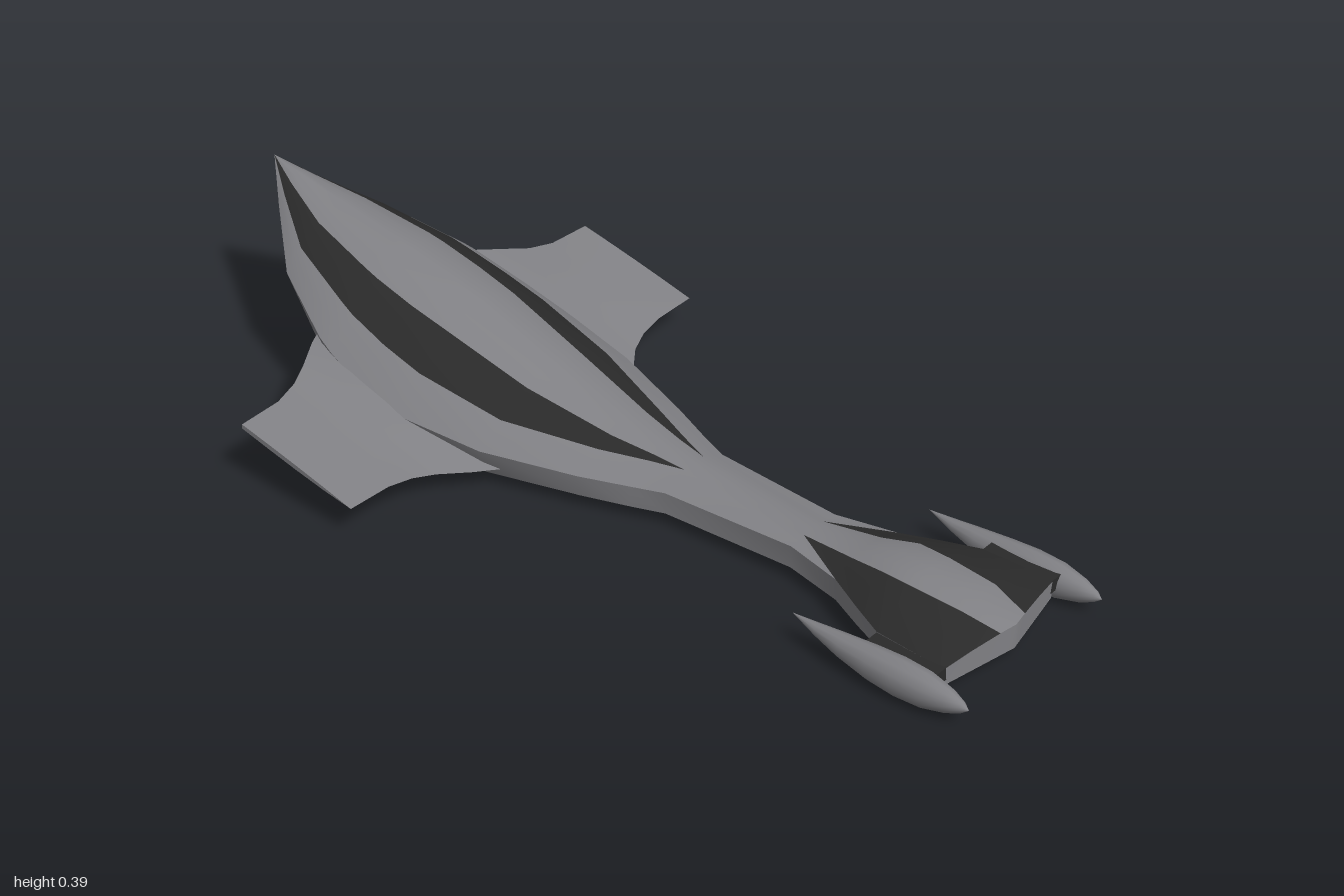
import * as THREE from 'three';
import { toCreasedNormals } from 'three/addons/utils/BufferGeometryUtils.js';

const hullGrey = new THREE.MeshStandardMaterial({ color: 0x808084, side: THREE.DoubleSide });
hullGrey.name = 'hull grey';
const stripeBlack = new THREE.MeshStandardMaterial({ color: 0x2a2a2a, side: THREE.DoubleSide });
stripeBlack.name = 'stripe black';

// Skin a grid of points; isBlack(row, column) picks the colour of each face
function skin(name, rows, isBlack = () => false, crease = 0.6) {
  const lists = [[], []];
  const a = new THREE.Vector3(), b = new THREE.Vector3(), c = new THREE.Vector3();
  const tri = (list, p, q, r) => {
    a.set(...p); b.set(...q).sub(a); c.set(...r).sub(a);
    if (b.cross(c).length() > 1e-7) list.push(...p, ...q, ...r);
  };
  for (let i = 0; i < rows.length - 1; i++) {
    for (let j = 0; j < rows[i].length - 1; j++) {
      const list = lists[isBlack(i, j) ? 1 : 0];
      const [p, q, r, s] = [rows[i][j], rows[i][j + 1], rows[i + 1][j + 1], rows[i + 1][j]];
      tri(list, p, q, r);
      tri(list, p, r, s);
    }
  }
  let geo = new THREE.BufferGeometry();
  geo.setAttribute('position', new THREE.Float32BufferAttribute([...lists[0], ...lists[1]], 3));
  geo = toCreasedNormals(geo, crease);
  geo.clearGroups();
  geo.addGroup(0, lists[0].length / 3, 0);
  geo.addGroup(lists[0].length / 3, lists[1].length / 3, 1);
  const mesh = new THREE.Mesh(geo, [hullGrey, stripeBlack]);
  mesh.name = name;
  return mesh;
}

// Body sections: z, half width, top y, edge y, lower half width, lower y, stripe inner x, stripe outer x
const SECTIONS = [
  [0.945, 0.18, 0.085, 0.068, 0.175, 0.03, 0.04, 0.18],
  [0.86, 0.178, 0.11, 0.07, 0.172, 0.03, 0.055, 0.178],
  [0.75, 0.172, 0.12, 0.072, 0.165, 0.03, 0.06, 0.172],
  [0.68, 0.14, 0.125, 0.076, 0.135, 0.03, 0.06, 0.14],
  [0.6, 0.1, 0.105, 0.08, 0.097, 0.03, 0.045, 0.1],
  [0.47, 0.07, 0.087, 0.08, 0.07, 0.03, 0.03, 0.03],
  [0.17, 0.09, 0.11, 0.08, 0.088, 0.03, 0.03, 0.03],
  [0.1, 0.118, 0.12, 0.08, 0.115, 0.03, 0.038, 0.055],
  [0, 0.16, 0.136, 0.082, 0.15, 0.03, 0.055, 0.095],
  [-0.2, 0.23, 0.19, 0.09, 0.21, 0.03, 0.085, 0.165],
  [-0.4, 0.264, 0.26, 0.11, 0.225, 0.03, 0.1, 0.19],
  [-0.5, 0.262, 0.287, 0.135, 0.215, 0.03, 0.103, 0.188],
  [-0.6, 0.246, 0.312, 0.17, 0.2, 0.03, 0.1, 0.178],
  [-0.64, 0.237, 0.32, 0.187, 0.2, 0.07, 0.096, 0.17],
  [-0.8, 0.17, 0.35, 0.25, 0.14, 0.19, 0.07, 0.125],
  [-0.92, 0.07, 0.375, 0.325, 0.06, 0.29, 0.03, 0.052],
  [-1, 0, 0.392, 0.388, 0, 0.365, 0, 0],
];

function bodyRow([z, w, top, edge, lowW, lowY, inner, outer], i) {
  const sweep = i === 0 ? 0.2 : 0;
  const arch = x => [x, w ? edge + (top - edge) * (1 - Math.pow(x / w, 1.7)) : top, z - sweep * x];
  const half = [0, inner / 2, inner, (inner + outer) / 2, outer, (outer + w) / 2, w].map(arch);
  half.push([lowW, lowY, z - sweep * lowW]);
  const mirrored = half.slice(1).reverse().map(([x, y, zz]) => [-x, y, zz]);
  return [...mirrored, ...half];
}

function body() {
  const group = new THREE.Group();
  group.name = 'body';
  const rows = SECTIONS.map(bodyRow);
  const stripeCols = [3, 4, 9, 10];
  group.add(skin('hull', rows, (i, j) => stripeCols.includes(j)));

  // Blunt wall across the front of the head
  const nose = rows[0].slice(1, -1);
  const n = rows[0].length;
  const foot = nose.map(([x, , z]) => [x * 0.97, 0.03, z]);
  foot[0] = rows[0][0];
  foot[foot.length - 1] = rows[0][n - 1];
  group.add(skin('headFront', [foot, nose]));

  // Flat belly, ending in a rounded lip
  const belly = [[0, 0.945], [0.175, 0.91]];
  SECTIONS.slice(1, 13).forEach(s => belly.push([s[4], s[0]]));
  [0.75, 0.5, 0.25, 0].forEach(t => belly.push([0.2 * t, -0.6 - 0.2 * (1 - t * t)]));
  group.add(skin('belly', belly.map(([w, z]) => [[w, 0.03, z], [-w, 0.03, z]])));

  // Hollow stern: y, half width, centre z, edge z
  const stern = [
    [0.03, 0.2, -0.8, -0.6], [0.07, 0.2, -0.69, -0.64], [0.19, 0.14, -0.79, -0.8],
    [0.29, 0.06, -0.91, -0.92], [0.365, 0, -1, -1],
  ].map(([y, w, zc, ze]) => Array.from({ length: 9 }, (_, k) => {
    const t = 1 - k / 4;
    return [w * t, y, ze + (zc - ze) * (1 - t * t)];
  }));
  group.add(skin('stern', stern, () => true));
  return group;
}

// Wing stations: x, leading z, leading y, trailing z, trailing y, thickness
const WING = [
  [0.2, -0.16, 0.05, -0.68, 0.17, 0.06],
  [0.25, -0.2, 0.05, -0.65, 0.176, 0.05],
  [0.31, -0.245, 0.056, -0.615, 0.165, 0.034],
  [0.36, -0.264, 0.064, -0.592, 0.153, 0.02],
  [0.42, -0.271, 0.072, -0.578, 0.145, 0.012],
  [0.525, -0.272, 0.074, -0.574, 0.144, 0.01],
  [0.525, -0.272, 0.074, -0.574, 0.144, 0],
];

function wing(side) {
  const rows = WING.map(([x, zl, yl, zt, yt, thick]) => {
    // fraction along the chord, offset in thicknesses
    const loop = [[1, 0], [0.75, 0.15], [0.5, 0.2], [0.25, 0.15], [0, 0],
      [0.25, -0.6], [0.5, -0.9], [0.75, -1], [1, -1], [1, 0]];
    const pts = loop.map(([f, o]) => [side * x, yl + (yt - yl) * f + o * thick, zl + (zt - zl) * f]);
    return side > 0 ? pts : pts.reverse();
  });
  return skin(side > 0 ? 'leftWing' : 'rightWing', rows, undefined, 0.8);
}

// Slender pod with its tail tip lifted, on a short strut
function pod(side) {
  const group = new THREE.Group();
  group.name = side > 0 ? 'leftPod' : 'rightPod';
  const profile = [[0, 0.59], [0.014, 0.65], [0.026, 0.71], [0.036, 0.78], [0.04, 0.84],
    [0.037, 0.9], [0.025, 0.95], [0.012, 0.98], [0, 0.995]].map(p => new THREE.Vector2(...p));
  const geo = new THREE.LatheGeometry(profile, 12).rotateX(Math.PI / 2).scale(0.9, 1, 1);
  const pos = geo.attributes.position;
  for (let i = 0; i < pos.count; i++) {
    const back = Math.max(0, 0.84 - pos.getZ(i));
    pos.setY(i, pos.getY(i) + 0.041 + 0.4 * back * back);
  }
  geo.computeVertexNormals();
  const shell = new THREE.Mesh(geo, hullGrey);
  shell.name = 'podShell';
  shell.position.x = side * 0.22;
  const strut = new THREE.Mesh(new THREE.BoxGeometry(0.06, 0.03, 0.16), stripeBlack);
  strut.name = 'podStrut';
  strut.position.set(side * 0.18, 0.055, 0.83);
  group.add(shell, strut);
  return group;
}

export function createModel() {
  const model = new THREE.Group();
  model.name = 'spaceship';
  model.add(body());
  for (const side of [1, -1]) model.add(wing(side), pod(side));
  return model;
}
